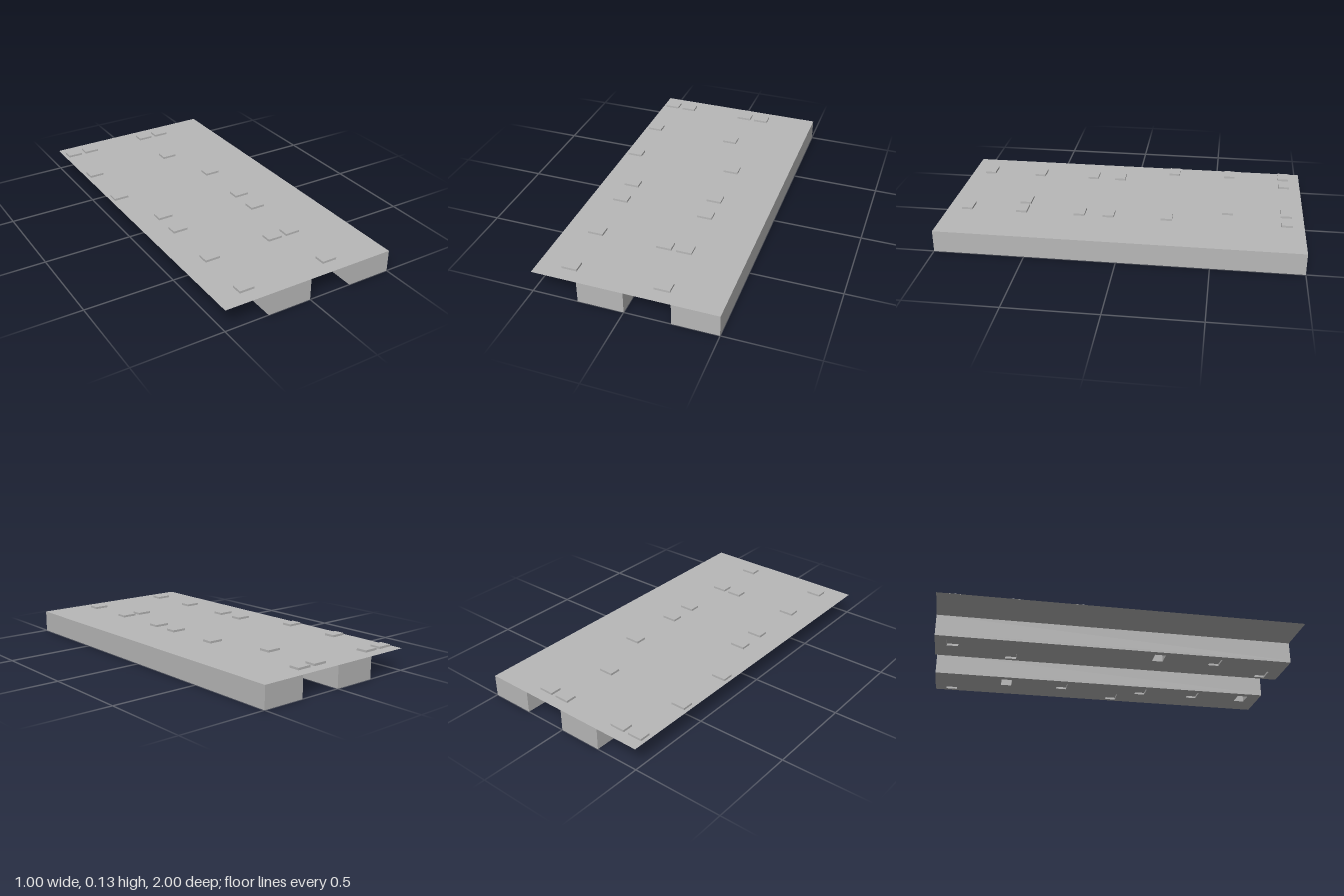
import * as THREE from 'three';

export function createModel() {
  const model = new THREE.Group();
  const grey = new THREE.MeshStandardMaterial({ color: 0xb8b8b8, side: THREE.DoubleSide });
  grey.name = 'plain grey';

  const H = 0.122, LENGTH = 2, BEAM_W = 0.25;
  const PEG_W = 0.084, PEG_H = 0.012, PEG_D = 0.062;

  const add = (name, geometry, parent = model) => {
    const mesh = new THREE.Mesh(geometry, grey);
    mesh.name = name;
    parent.add(mesh);
    return mesh;
  };

  // rectangle outline on the ground plan, centred on x, z
  const trace = (path, x, z, w, d) => {
    path.moveTo(x - w / 2, -z - d / 2);
    path.lineTo(x + w / 2, -z - d / 2);
    path.lineTo(x + w / 2, -z + d / 2);
    path.lineTo(x - w / 2, -z + d / 2);
    path.closePath();
    return path;
  };

  // one horizontal layer of a beam, pierced by rectangular sockets
  const layer = (x, y0, y1, sockets) => {
    const shape = trace(new THREE.Shape(), x, 0, BEAM_W, LENGTH);
    for (const [sx, sz] of sockets) shape.holes.push(trace(new THREE.Path(), sx, sz, PEG_W, PEG_D));
    return new THREE.ExtrudeGeometry(shape, { depth: y1 - y0, bevelEnabled: false })
      .rotateX(-Math.PI / 2).translate(0, y0, 0);
  };

  // beams: shallow sockets below, a few of them running deep (third value 1)
  const beams = [
    { name: 'leftBeam', x: 0.375, sockets: [
      [0.438, -0.905], [0.438, 0.08], [0.326, -0.58, 1], [0.326, -0.245],
      [0.326, 0.245], [0.326, 0.575], [0.326, 0.89, 1]] },
    { name: 'rightBeam', x: -0.125, sockets: [
      [-0.174, -0.905], [-0.062, -0.58], [-0.174, 0.245, 1],
      [-0.174, 0.575], [-0.062, 0.89]] },
  ];
  for (const { name, x, sockets } of beams) {
    const beam = new THREE.Group();
    beam.name = name;
    add('socketLayer', layer(x, 0, PEG_H, sockets), beam);
    add('beamCore', layer(x, PEG_H, H, sockets.filter((s) => s[2])), beam);
    model.add(beam);
  }

  // thin deck over both beams
  add('deck', new THREE.PlaneGeometry(1, LENGTH).rotateX(-Math.PI / 2).translate(0, H, 0));

  // pegs on the deck, by column x and rows z
  const columns = [
    [-0.438, [-0.905, -0.58, -0.245]],
    [-0.326, [-0.905, 0.08, 0.245, 0.575, 0.89]],
    [0.062, [-0.905, -0.58, 0.575]],
    [0.174, [-0.905, -0.245, 0.08, 0.245, 0.575, 0.89]],
  ];
  const pegs = new THREE.Group();
  pegs.name = 'pegs';
  const pegGeometry = new THREE.BoxGeometry(PEG_W, PEG_H, PEG_D);
  for (const [x, rows] of columns) {
    for (const z of rows) add('peg', pegGeometry, pegs).position.set(x, H + PEG_H / 2, z);
  }
  model.add(pegs);

  return model;
}
